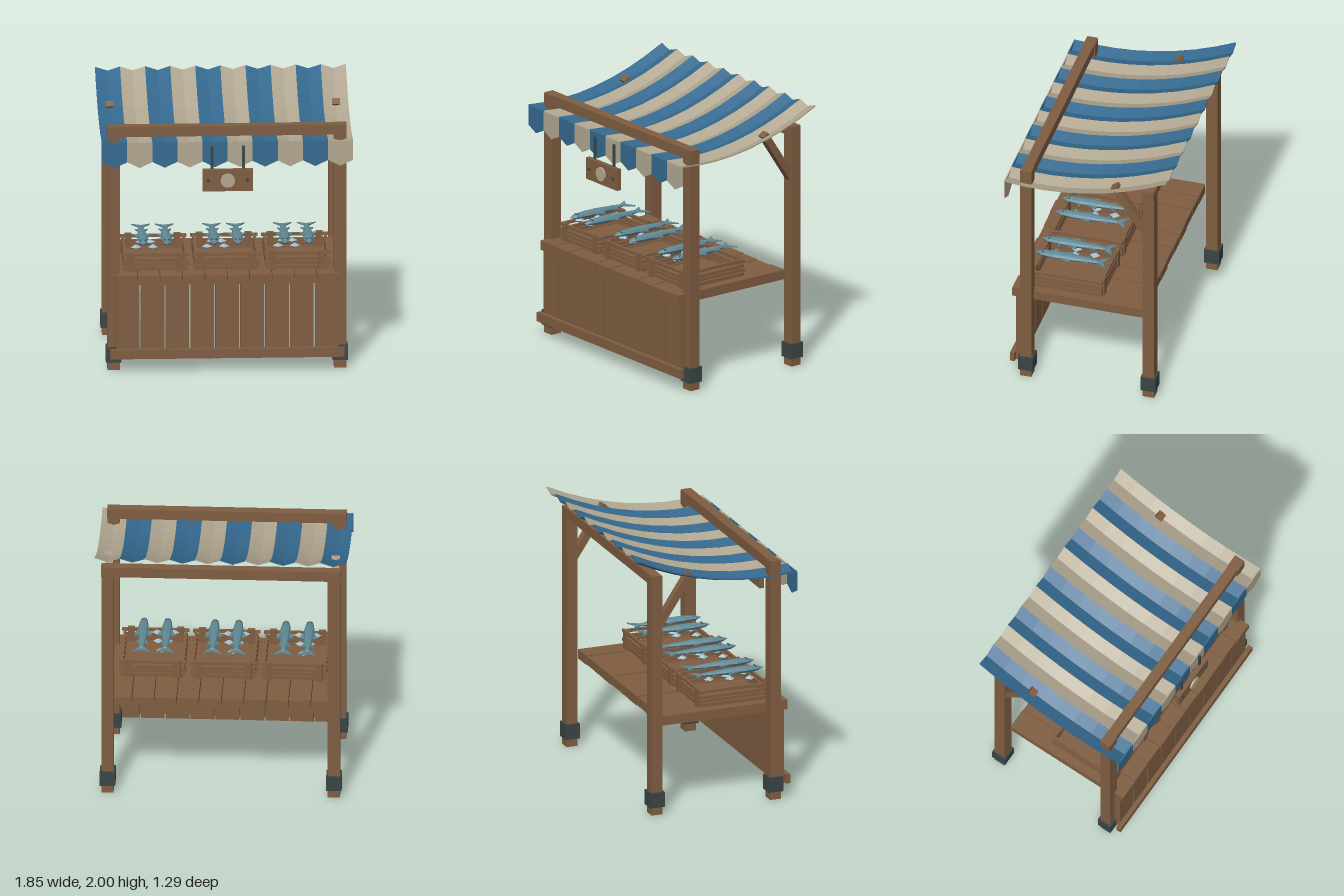
import * as THREE from 'three';

const mat = (name, color) => {
  const m = new THREE.MeshStandardMaterial({ color });
  m.name = name;
  return m;
};

export function createModel() {
  const wood = mat('wood', 0x7f5d41);
  const blue = mat('blueCloth', 0x35698f);
  const cream = mat('creamCloth', 0xb1a791);
  const iron = mat('iron', 0x3a4445);
  const fishSkin = mat('fishSkin', 0x5f8894);
  const ice = mat('ice', 0xa3bdc6);

  const root = new THREE.Group();
  root.name = 'marketStall';

  const add = (parent, name, geo, material, x = 0, y = 0, z = 0) => {
    const m = new THREE.Mesh(geo, material);
    m.name = name;
    m.position.set(x, y, z);
    parent.add(m);
    return m;
  };
  // Box given by its extents
  const box = (parent, name, material, x0, x1, y0, y1, z0, z1) =>
    add(parent, name, new THREE.BoxGeometry(x1 - x0, y1 - y0, z1 - z0), material,
      (x0 + x1) / 2, (y0 + y1) / 2, (z0 + z1) / 2);
  const flat = (geo) => {
    const g = geo.index ? geo.toNonIndexed() : geo;
    g.computeVertexNormals();
    return g;
  };

  // Posts with iron bands, top beams, rear braces
  const px = 0.834;
  for (const z of [0.44, -0.5]) {
    for (const s of [-1, 1]) {
      const x = s * px;
      box(root, 'post', wood, x - 0.045, x + 0.045, 0, 1.853, z - 0.043, z + 0.043);
      box(root, 'ironBand', iron, x - 0.057, x + 0.057, 0.06, 0.175, z - 0.057, z + 0.057);
    }
    box(root, 'topBeam', wood, -0.882, 0.882, 1.78, 1.857, z - 0.038, z + 0.038);
  }
  for (const s of [-1, 1]) {
    const brace = add(root, 'brace', new THREE.BoxGeometry(0.06, 0.47, 0.056), wood, s * px, 1.64, -0.357);
    brace.rotation.x = Math.atan2(0.551, 0.834);
  }

  // Counter top planks
  for (let i = 0; i < 10; i++) {
    const x = -0.825 + i * 0.165;
    const drop = (i % 3) * 0.003;
    box(root, 'counterPlank', wood, x + 0.003, x + 0.162, 0.668, 0.74 - drop, -0.44 + drop, 0.56 - drop);
  }
  // Front panel planks and bottom rail
  const pw = 1.65 / 9;
  for (let i = 0; i < 9; i++) {
    const x = -0.825 + i * pw;
    box(root, 'frontPlank', wood, x + 0.005, x + pw - 0.005, 0.095, 0.67, 0.485, 0.532);
  }
  box(root, 'bottomRail', wood, -0.862, 0.862, 0.105, 0.175, 0.53, 0.565);

  // Canopy: sagging, folded cloth stripes with a pointed valance
  const N = 10, W = 1.848 / N, zF = 0.593, zB = -0.648;
  const sagY = (z) => {
    const t = (zF - z) / (zF - zB);
    return 1.775 + 0.225 * t - 0.38 * t * (1 - t);
  };
  const flap = new THREE.Shape();
  flap.moveTo(-W / 2, 1.768);
  flap.lineTo(-W / 2, 1.62);
  flap.lineTo(0, 1.575);
  flap.lineTo(W / 2, 1.62);
  flap.lineTo(W / 2, 1.768);
  const flapGeo = new THREE.ExtrudeGeometry(flap, { depth: 0.009, bevelEnabled: false });
  const stripe = new THREE.BoxGeometry(W, 0.01, zF - zB, 2, 1, 8);
  const sp = stripe.attributes.position;
  for (let i = 0; i < sp.count; i++) {
    const x = sp.getX(i), z = sp.getZ(i) + (zF + zB) / 2;
    const fold = -0.03 * (1 - Math.abs(x) / (W / 2));
    sp.setXYZ(i, x, sagY(z) + fold + sp.getY(i) - 0.005, z);
  }
  const stripeGeo = flat(stripe);
  for (let i = 0; i < N; i++) {
    const x = (i - (N - 1) / 2) * W;
    const m = i % 2 ? cream : blue;
    add(root, 'canopyStripe', stripeGeo, m, x);
    add(root, 'valanceFlap', flapGeo, m, x, 0, 0.586);
  }

  // Hanging sign
  const sign = new THREE.Group();
  sign.name = 'hangingSign';
  root.add(sign);
  box(sign, 'signBoard', wood, -0.185, 0.185, 1.4, 1.565, 0.594, 0.63);
  const disc = (name, r, h, n, m, x) =>
    add(sign, name, new THREE.CylinderGeometry(r, r, h, n).rotateX(Math.PI / 2), m, x, 1.483, 0.63 + h / 2);
  disc('signDisc', 0.053, 0.014, 16, cream, 0);
  for (const s of [-1, 1]) {
    disc('signBolt', 0.013, 0.008, 8, iron, s * 0.145);
    box(sign, 'signHanger', iron, s * 0.116 - 0.01, s * 0.116 + 0.01, 1.56, 1.737, 0.596, 0.608);
  }

  // Fish lying on its side, head to the front
  const profile = [[0, -0.21], [0.016, -0.2], [0.026, -0.1], [0.037, 0.03], [0.038, 0.14], [0.027, 0.24], [0, 0.29]]
    .map(([r, z]) => new THREE.Vector2(r, z));
  const bodyGeo = flat(new THREE.LatheGeometry(profile, 8).rotateX(Math.PI / 2).scale(1, 0.7, 1));
  const plate = (pts) => new THREE.ExtrudeGeometry(
    new THREE.Shape(pts.map(([x, z]) => new THREE.Vector2(x, z))), { depth: 0.009, bevelEnabled: false })
    .rotateX(Math.PI / 2).translate(0, 0.0045, 0);
  const tailGeo = plate([[-0.012, -0.18], [-0.068, -0.27], [0, -0.235], [0.068, -0.27], [0.012, -0.18]]);
  const finPts = [[0.03, 0.11], [0.066, 0.01], [0.028, 0.0], [0.022, -0.06], [0.046, -0.13], [0.018, -0.12]];
  const finGeos = [plate(finPts), plate(finPts.map(([x, z]) => [-x, z]))];
  const makeFish = () => {
    const f = new THREE.Group();
    f.name = 'fish';
    add(f, 'fishBody', bodyGeo, fishSkin);
    add(f, 'fishTail', tailGeo, fishSkin);
    for (const g of finGeos) add(f, 'fishFin', g, fishSkin);
    for (const s of [-1, 1])
      add(f, 'fishEye', new THREE.SphereGeometry(0.007, 6, 4), iron, s * 0.014, 0.018, 0.225);
    return f;
  };

  // Slatted crates with ice and fish
  const iceGeo = flat(new THREE.OctahedronGeometry(0.04).scale(1, 0.55, 1));
  const z0 = -0.12, z1 = 0.44;
  const slats = [[0.745, 0.772], [0.78, 0.803], [0.808, 0.832], [0.85, 0.872]];
  for (const cx of [-0.523, 0, 0.523]) {
    const c = new THREE.Group();
    c.name = 'crate';
    c.position.x = cx;
    root.add(c);
    box(c, 'crateFloor', wood, -0.225, 0.225, 0.742, 0.765, z0 + 0.02, z1 - 0.02);
    slats.forEach(([a, b], i) => {
      const hw = i % 2 ? 0.248 : 0.235;
      for (const z of [z0 + 0.02, z1 - 0.02])
        box(c, 'crateEndSlat', wood, -hw, hw, a, b, z - 0.01, z + 0.01);
      for (const s of [-1, 1])
        box(c, 'crateSideSlat', wood, s * 0.225 - 0.01, s * 0.225 + 0.01, a, b, z0 + 0.012, z1 - 0.012);
    });
    for (const s of [-1, 1])
      for (const z of [z0 + 0.015, z1 - 0.015])
        box(c, 'crateCornerPost', wood, s * 0.18 - 0.025, s * 0.18 + 0.025, 0.74, 0.88, z - 0.015, z + 0.015);
    for (const [x, z] of [[-0.14, 0.32], [-0.1, 0.18], [-0.06, 0.03], [-0.015, 0.32], [-0.03, 0.18]])
      add(c, 'iceChunk', iceGeo, ice, x, 0.892, z);
    for (const x of [-0.09, 0.085]) {
      const f = makeFish();
      f.position.set(x, 0.945, 0.16);
      c.add(f);
    }
  }
  return root;
}
